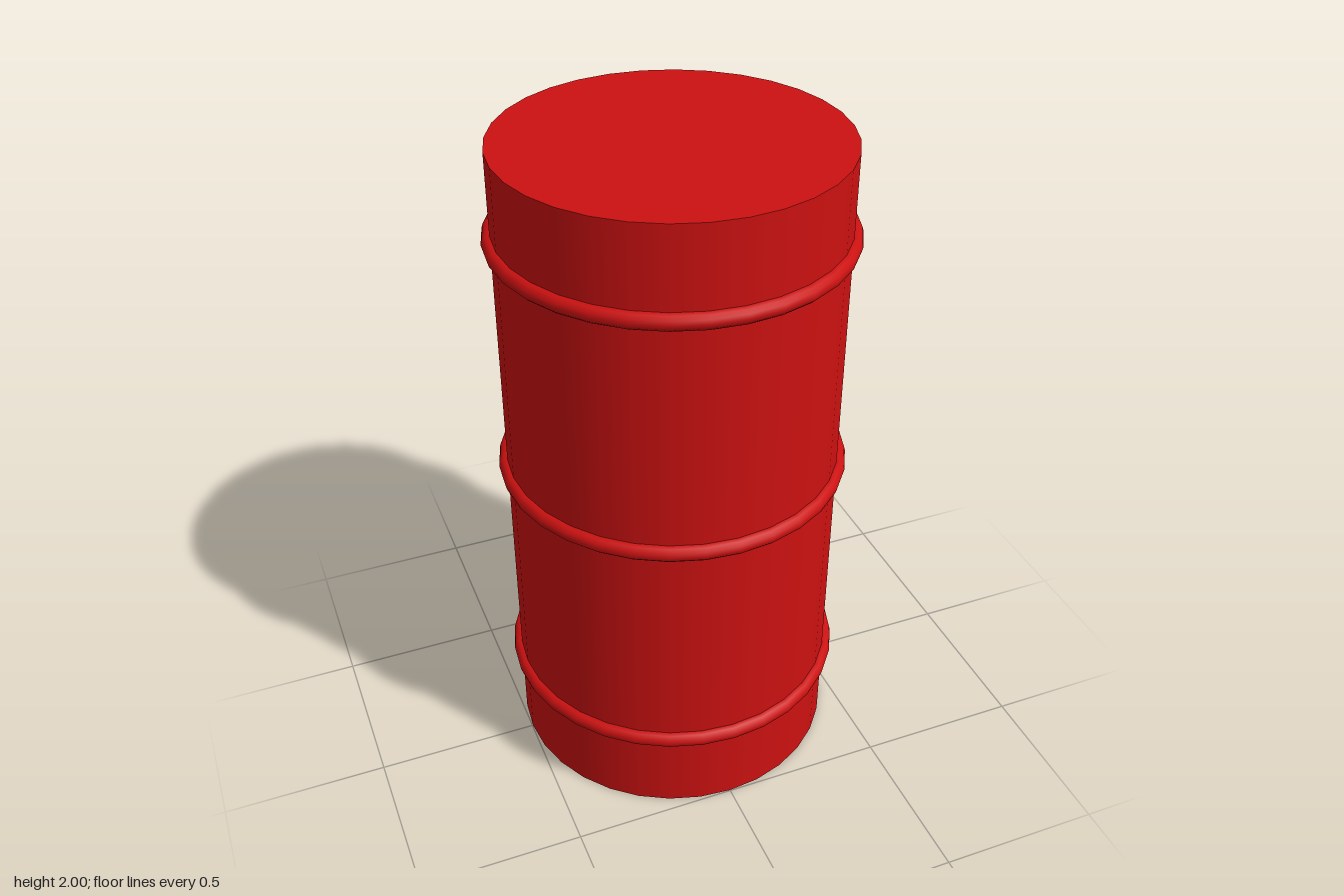
import * as THREE from 'three';

const SIDES = 32;
const RADIUS = 0.498;
const HEIGHT = 2;

export function createModel() {
  const drum = new THREE.Group();
  drum.name = 'drum';

  const redPaint = new THREE.MeshStandardMaterial({ color: 0xcc1111 });
  redPaint.name = 'red paint';

  // Closed barrel body
  const body = new THREE.Mesh(
    new THREE.CylinderGeometry(RADIUS, RADIUS, HEIGHT, SIDES),
    redPaint
  );
  body.name = 'body';
  body.position.y = HEIGHT / 2;
  drum.add(body);

  // Rolling hoops around the body
  const hoopGeometry = new THREE.TorusGeometry(RADIUS, 0.025, 12, SIDES);
  hoopGeometry.rotateX(Math.PI / 2);
  const hoops = { lowerHoop: 0.27, middleHoop: 1, upperHoop: 1.735 };
  for (const [name, y] of Object.entries(hoops)) {
    const hoop = new THREE.Mesh(hoopGeometry, redPaint);
    hoop.name = name;
    hoop.position.y = y;
    drum.add(hoop);
  }

  return drum;
}
